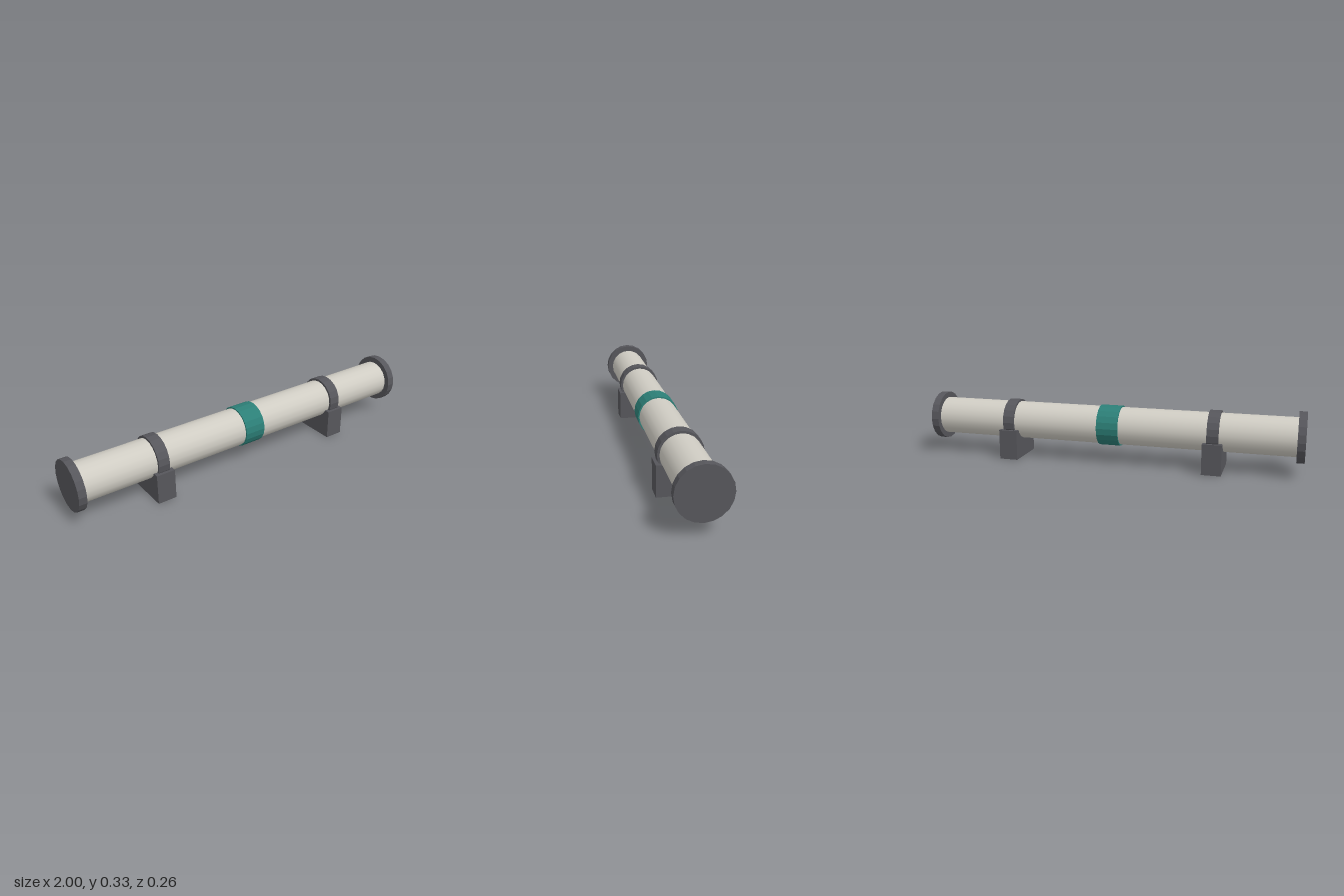
import * as THREE from 'three';

export function createModel() {
  const model = new THREE.Group();
  model.name = 'pipeSegment';

  const material = (name, color, flatShading = false) => {
    const m = new THREE.MeshStandardMaterial({ color, flatShading });
    m.name = name;
    return m;
  };
  const paleMetal = material('paleMetal', 0xcfccc3);
  const darkMetal = material('darkMetal', 0x56565b, true);
  const teal = material('teal', 0x2c7f77, true);

  const AXIS_Y = 0.2;

  // Cylinder lying along x on the pipe axis
  const addRound = (name, radius, length, x, sides, mat) => {
    const geometry = new THREE.CylinderGeometry(radius, radius, length, sides);
    // put a corner of the polygon at the top
    geometry.rotateZ(Math.PI / 2);
    const mesh = new THREE.Mesh(geometry, mat);
    mesh.name = name;
    mesh.position.set(x, AXIS_Y, 0);
    model.add(mesh);
  };

  // Main pipe and centre band
  addRound('pipe', 0.1, 1.96, 0, 20, paleMetal);
  addRound('centreBand', 0.107, 0.115, 0, 20, teal);

  // Mirrored end flanges, clamps and support blocks
  for (const [side, s] of [['left', 1], ['right', -1]]) {
    addRound(side + 'Flange', 0.13, 0.04, s * 0.98, 20, darkMetal);
    addRound(side + 'Clamp', 0.112, 0.06, s * 0.55, 20, darkMetal);

    const block = new THREE.Mesh(new THREE.BoxGeometry(0.1, 0.16, 0.24), darkMetal);
    block.name = side + 'Support';
    block.position.set(s * 0.55, 0.08, 0);
    model.add(block);
  }

  return model;
}
